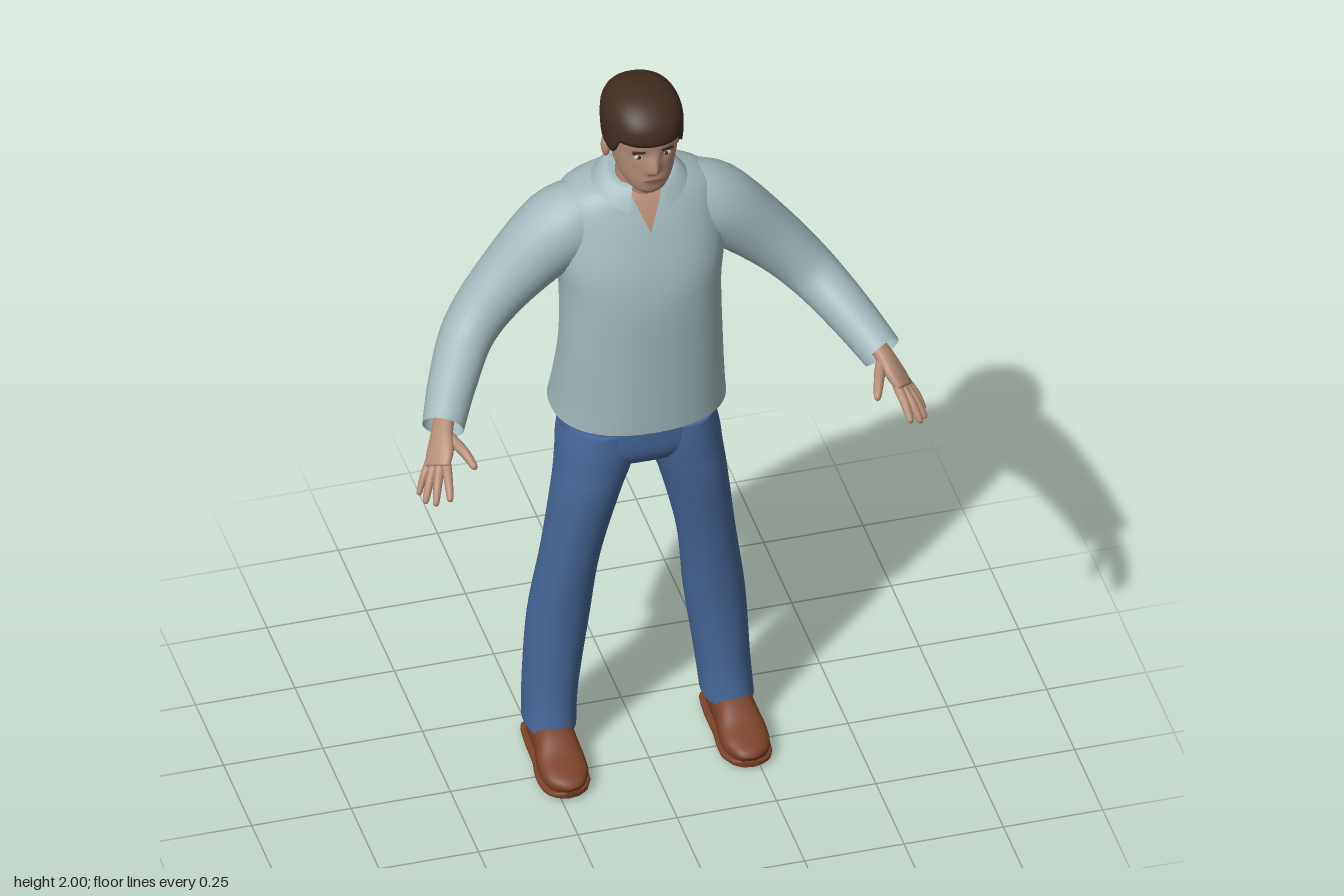
import * as THREE from 'three';

const mat = (name, color, side = THREE.FrontSide) => {
  const m = new THREE.MeshStandardMaterial({ color, side });
  m.name = name;
  return m;
};
const V = (x, y, z) => new THREE.Vector3(x, y, z);
const ss = THREE.MathUtils.smoothstep;

// Superellipse: unit cosine/sine raised so that n > 2 gives a squarer section
const sq = (v, n) => Math.sign(v) * Math.abs(v) ** (2 / n);

// Catmull-Rom refinement of a list of number rows
function refine(rows, k = 5) {
  const out = [], last = rows.length - 1;
  const P = i => rows[Math.min(last, Math.max(0, i))];
  for (let i = 0; i < last; i++) for (let s = 0; s < k; s++) {
    const t = s / k, [a, b, c, d] = [P(i - 1), P(i), P(i + 1), P(i + 2)];
    out.push(b.map((_, j) => 0.5 * (2 * b[j] + (c[j] - a[j]) * t + (2 * a[j] - 5 * b[j] + 4 * c[j] - d[j]) * t * t
      + (3 * b[j] - a[j] - 3 * c[j] + d[j]) * t ** 3)));
  }
  out.push(rows[last]);
  return out;
}

// Smooth skin over rings of points; closed rings wrap around
function skin(rings, { capStart = false, capEnd = false, closed = true } = {}) {
  const n = rings[0].length, pos = [], idx = [];
  rings.forEach(r => r.forEach(p => pos.push(p.x, p.y, p.z)));
  for (let i = 0; i < rings.length - 1; i++) for (let j = 0; j < (closed ? n : n - 1); j++) {
    const a = i * n + j, b = i * n + (j + 1) % n;
    idx.push(a, b, b + n, a, b + n, a + n);
  }
  const cap = (r, start, flip) => {
    const c = r.reduce((s, p) => s.add(p), V(0, 0, 0)).divideScalar(n), k = pos.length / 3;
    pos.push(c.x, c.y, c.z);
    for (let j = 0; j < n; j++) {
      const a = start + j, b = start + (j + 1) % n;
      flip ? idx.push(k, b, a) : idx.push(k, a, b);
    }
  };
  if (capStart) cap(rings[0], 0, true);
  if (capEnd) cap(rings[rings.length - 1], (rings.length - 1) * n, false);
  const g = new THREE.BufferGeometry();
  g.setAttribute('position', new THREE.Float32BufferAttribute(pos, 3));
  g.setIndex(idx);
  g.computeVertexNormals();
  return g;
}

// Horizontal section row: [y, inner x, outer x, front z, back z]
function ring([y, x0, x1, zf, zb], s = 1, n = 2.3, seg = 48) {
  return Array.from({ length: seg }, (_, j) => {
    const a = j / seg * Math.PI * 2;
    return V(s * (x0 + x1) / 2 + sq(Math.sin(a), n) * (x1 - x0) / 2, y,
      (zf + zb) / 2 + sq(Math.cos(a), n) * (zf - zb) / 2);
  });
}

// Tube along a path of rows [x, y, z, radius along hint, other radius]
function tube(rows, hint, s = 1, n = 2, seg = 20, caps = {}) {
  const R = refine(rows), c = R.map(r => V(s * r[0], r[1], r[2])), h = V(s * hint.x, hint.y, hint.z);
  return skin(R.map((r, i) => {
    const t = c[Math.min(i + 1, c.length - 1)].clone().sub(c[Math.max(i - 1, 0)]).normalize();
    const u = h.clone().addScaledVector(t, -h.dot(t)).normalize(), v = t.clone().cross(u);
    return Array.from({ length: seg }, (_, j) => {
      const a = j / seg * Math.PI * 2;
      return c[i].clone().addScaledVector(u, r[3] * sq(Math.cos(a), n)).addScaledVector(v, r[4] * sq(Math.sin(a), n));
    });
  }), caps);
}

// Section at height y, and the front surface depth at (x, y)
function rowAt(R, y) {
  let i = 0;
  while (i < R.length - 2 && R[i + 1][0] < y) i++;
  const t = THREE.MathUtils.clamp((y - R[i][0]) / (R[i + 1][0] - R[i][0]), 0, 1);
  return R[i].map((v, j) => v + (R[i + 1][j] - v) * t);
}
function frontZ(R, x, y, n = 2.3) {
  const [, , rx, zf, zb] = rowAt(R, y);
  return (zf + zb) / 2 + (zf - zb) / 2 * Math.max(0, 1 - Math.abs(x / rx) ** n) ** (1 / n);
}
// Thin patch lying on a front surface, half-width w(t) from y0 to y1
function patch(R, y0, y1, w, lift = 0.004) {
  return skin(Array.from({ length: 13 }, (_, i) => Array.from({ length: 9 }, (_, j) => {
    const t = i / 12, y = y0 + (y1 - y0) * t, x = (j / 4 - 1) * w(t);
    return V(x, y, frontZ(R, x, y) + lift);
  })), { closed: false });
}

const sym = rows => refine(rows.map(([y, rx, zf, zb]) => [y, -rx, rx, zf, zb]));
const TORSO = sym([[1.035, .217, .062, -.288], [1.1, .21, .063, -.264], [1.25, .2, .065, -.222], [1.4, .198, .065, -.235],
  [1.5, .21, .05, -.246], [1.6, .208, .016, -.25], [1.66, .192, -.01, -.236], [1.69, .155, -.026, -.214],
  [1.708, .11, -.038, -.195], [1.725, .08, -.05, -.17]]);
const HEAD = sym([[1.732, .025, .015, -.05], [1.75, .047, .03, -.085], [1.78, .066, .035, -.13], [1.82, .077, .038, -.16],
  [1.86, .084, .04, -.172], [1.9, .087, .045, -.175], [1.95, .075, .03, -.16]]);
const HAIR = sym([[1.755, .06, 0, -.155], [1.8, .08, .03, -.176], [1.85, .094, .05, -.186], [1.9, .098, .056, -.19],
  [1.94, .095, .05, -.188], [1.97, .08, .025, -.168], [1.99, .05, -.012, -.128], [2, .006, -.06, -.072]]);
const HIPS = sym([[.9, .17, -.005, -.17], [.93, .19, .012, -.212], [.97, .193, .017, -.235], [1.04, .185, .015, -.25],
  [1.12, .175, .01, -.22]]);
const LEG = refine([[.095, .16, .287, -.018, -.19], [.2, .15, .282, -.034, -.204], [.4, .122, .27, -.036, -.2],
  [.6, .1, .241, -.016, -.184], [.8, .052, .216, .01, -.188], [.88, .022, .206, .013, -.205], [.94, .002, .2, .014, -.225],
  [1, .01, .186, .01, -.235]]);
const ARM = [[.12, 1.595, -.115, .09, .1], [.2, 1.565, -.12, .1, .098], [.335, 1.438, -.112, .08, .078],
  [.43, 1.335, -.08, .07, .066], [.5, 1.265, .02, .062, .058], [.552, 1.207, .118, .05, .052]];
const PALM = [[.535, 1.225, .08, .026, .02], [.556, 1.203, .125, .029, .019], [.572, 1.175, .165, .038, .018],
  [.588, 1.15, .195, .036, .012]];
// Each digit: base and tip
const DIGITS = [[.54, 1.195, .15, .505, 1.165, .245, .013], [.567, 1.165, .2, .58, 1.108, .284, .0115],
  [.58, 1.157, .192, .611, 1.085, .262, .0115], [.591, 1.15, .178, .63, 1.076, .235, .011],
  [.6, 1.148, .162, .637, 1.078, .2, .0095]];
// Shoe rows: [x, z, half width, height]
const SHOE = [[.225, -.196, .022, .05], [.225, -.185, .042, .1], [.225, -.12, .05, .122], [.226, -.04, .052, .108],
  [.228, .02, .059, .074], [.227, .07, .056, .056], [.222, .1, .038, .044], [.22, .112, .016, .03]];

export function createModel() {
  const root = new THREE.Group();
  root.name = 'standingMan';
  const shirt = mat('shirt grey blue', 0xa2b9bc, THREE.DoubleSide), denim = mat('trouser blue', 0x456797, THREE.DoubleSide);
  const flesh = mat('skin', 0xb68d76), hairMat = mat('hair brown', 0x402d21), leather = mat('shoe brown', 0x7a4228);
  const white = mat('eye white', 0xcfc6bd), lip = mat('lip', 0x925f52);
  const add = (name, geo, m, parent = root) => {
    const mesh = new THREE.Mesh(geo, m);
    mesh.name = name;
    parent.add(mesh);
    return mesh;
  };
  const blob = (name, m, p, sc) => {
    const b = add(name, new THREE.SphereGeometry(1, 16, 12), m);
    b.position.set(...p);
    b.scale.set(...sc);
  };
  const ends = { capStart: true, capEnd: true };

  // Shirt body, button placket and open neck
  add('shirtBody', skin(TORSO.map(r => ring(r)), { capEnd: true }), shirt);
  add('placket', patch(TORSO, 1.037, 1.615, () => .013, .003), shirt);
  add('openNeck', patch(TORSO, 1.612, 1.712, t => .001 + .042 * t, .005), flesh);

  // Folded collar with a gap at the front
  const collar = [];
  for (let i = 0; i <= 6; i++) collar.push(Array.from({ length: 41 }, (_, j) => {
    const t = i / 6, a = .42 + j / 40 * (Math.PI * 2 - .84), c = Math.cos(a), f = Math.max(c, 0);
    const top = 1.742 - .018 * c, low = 1.708 - .048 * f * f;
    return V(Math.sin(a) * (.118 - .042 * t), low + (top - low) * Math.sin(t * Math.PI / 2),
      -.09 + c * ((c > 0 ? .104 : .118) - .046 * t));
  }));
  add('collar', skin(collar, { closed: false }), shirt);

  // Neck, and head with a nose raised by a rule
  add('neck', tube([[0, 1.65, -.1, .064, .062], [0, 1.72, -.085, .06, .062], [0, 1.82, -.075, .06, .06]], V(1, 0, 0)), flesh);
  add('head', skin(HEAD.map(r => ring(r, 1, 2.3, 72).map(p => {
    if (p.z > 0) {
      p.z += .026 * Math.exp(-((p.x / .013) ** 2)) * (1 - ss(p.y, 1.822, 1.885)) * ss(p.y, 1.8, 1.818);
      p.z += .005 * Math.exp(-((p.x / .025) ** 2) - ((p.y - 1.785) / .012) ** 2);
      p.z -= .005 * Math.exp(-(((Math.abs(p.x) - .034) / .014) ** 2) - ((p.y - 1.858) / .011) ** 2);
    }
    return p;
  })), ends), flesh);

  // Hair cap: fringe, sideburns, clear of the ears, low at the nape
  const cols = Array.from({ length: 72 }, (_, j) => {
    const a = j / 72 * Math.PI * 2, b = Math.min(a, Math.PI * 2 - a);
    const low = 1.9 - .05 * ss(b, .85, 1.2) - .085 * ss(b, 1.8, 2.15);
    return Array.from({ length: 20 }, (_, i) => {
      const y = low + (2 - low) * Math.sin(Math.max(0, i - 1) / 18 * Math.PI / 2);
      const [, , rx, zf, zb] = rowAt(HAIR, y), k = i ? 1 : .86;
      return V(k * rx * sq(Math.sin(a), 2.2), y, (zf + zb) / 2 + k * (zf - zb) / 2 * sq(Math.cos(a), 2.2));
    });
  });
  add('hair', skin(cols[0].map((_, i) => cols.map(c => c[i])), { capEnd: true }), hairMat);
  add('mouth', patch(HEAD, 1.779, 1.79, t => .004 + .02 * Math.sin(t * Math.PI), .0055), lip);

  for (const s of [1, -1]) {
    const side = s > 0 ? 'left' : 'right';

    // Face details
    const ez = frontZ(HEAD, .034, 1.858);
    blob(side + 'Eye', white, [s * .034, 1.858, ez - .004], [.013, .006, .004]);
    blob(side + 'Iris', hairMat, [s * .034, 1.858, ez - .002], [.0055, .0055, .003]);
    const brow = add(side + 'Brow', new THREE.BoxGeometry(.032, .006, .006), hairMat);
    brow.position.set(s * .036, 1.876, frontZ(HEAD, .036, 1.876));
    brow.rotation.set(0, s * .28, s * -.08);
    blob(side + 'Ear', flesh, [s * .088, 1.827, -.078], [.011, .03, .018]);

    // Sleeve and hand
    add(side + 'Sleeve', tube(ARM, V(0, 0, 1), s, 2, 28, { capStart: true }), shirt);
    const hand = new THREE.Group();
    hand.name = side + 'Hand';
    root.add(hand);
    add(side + 'Palm', tube(PALM, V(.6, -.35, -.72), s, 2.3, 20, ends), flesh, hand);
    DIGITS.forEach(([x, y, z, X, Y, Z, r], i) => {
      const at = (t, k, bow = 0) => [x + (X - x) * t, y + (Y - y) * t + bow, z + (Z - z) * t, r * k, r * k];
      add(side + (i ? 'Finger' + i : 'Thumb'),
        tube([at(-.15, .9), at(.15, 1.05), at(.55, .95, .006), at(.92, .7), at(1, .25)], V(1, 0, .2), s, 2, 12, ends), flesh, hand);
    });

    // Trouser leg and shoe
    add(side + 'TrouserLeg', skin(LEG.map(r => ring(r, s, 2.2)), { capEnd: true }), denim);
    add(side + 'Shoe', tube(SHOE.map(([x, z, w, h]) => [x, .012 + h / 2, z, w, h / 2]), V(1, 0, 0), s, 2.5, 28, ends), leather);
    add(side + 'Sole', tube(SHOE.map(([x, z, w]) => [x, .016, z, w + .005, .009]), V(1, 0, 0), s, 4, 24, ends), leather);
    add(side + 'Heel', tube([[.225, .011, -.193, .03, .011], [.225, .011, -.17, .047, .011], [.225, .011, -.115, .05, .011]],
      V(1, 0, 0), s, 5, 24, ends), leather);
  }

  // Seat of the trousers
  add('trouserSeat', skin(HIPS.map(r => ring(r, 1, 2.4)), ends), denim);
  return root;
}
